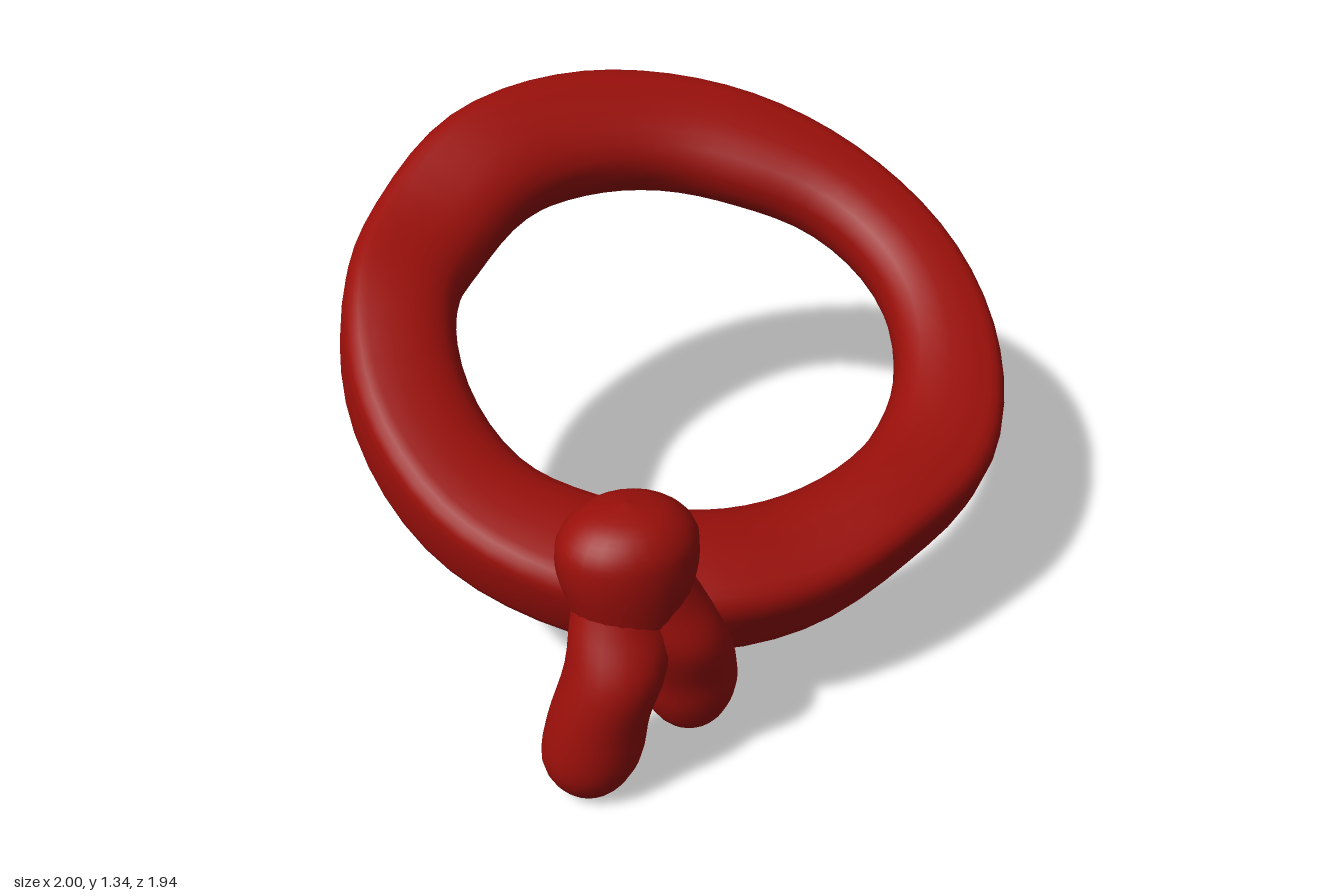
import * as THREE from 'three';

const cloth = new THREE.MeshStandardMaterial({ color: 0x9a0f0a });

// Skin over a list of equal closed loops; closed also joins the last loop to the first
function skin(name, loops, closed) {
  const n = loops[0].length, index = [];
  for (let i = 0; i < loops.length - (closed ? 0 : 1); i++) {
    const next = (i + 1) % loops.length;
    for (let j = 0; j < n; j++) {
      const k = (j + 1) % n;
      const A = i * n + j, B = i * n + k, C = next * n + j, D = next * n + k;
      index.push(A, B, C, B, D, C);
    }
  }
  const g = new THREE.BufferGeometry();
  g.setAttribute('position', new THREE.Float32BufferAttribute(loops.flat(2), 3));
  g.setIndex(index);
  g.computeVertexNormals();
  const mesh = new THREE.Mesh(g, cloth);
  mesh.name = name;
  return mesh;
}

// Tilted ring with a D-shaped cross-section: flat outside, rounded inside
function makeBand() {
  // outer radius, inner radius, lift; every 22.5 degrees from +x towards the front
  const stations = [
    [1, 0.71, 0], [1.015, 0.7, 0], [1.02, 0.67, 0], [0.975, 0.645, 0.01],
    [0.985, 0.62, 0], [1.02, 0.635, 0.015], [1.02, 0.64, 0], [1.01, 0.65, -0.03],
    [1, 0.655, -0.01], [0.98, 0.645, 0.01], [0.985, 0.62, -0.03], [0.99, 0.605, 0],
    [0.99, 0.605, -0.005], [0.985, 0.615, -0.01], [0.975, 0.62, 0], [0.98, 0.68, 0],
  ].map((s) => new THREE.Vector3(...s));
  const curve = new THREE.CatmullRomCurve3(stations, true, 'catmullrom', 0.5);
  const around = 64, ring = 24, loops = [];
  const tilt = Math.atan(0.5), c = Math.cos(tilt), s = Math.sin(tilt);
  const power = (v, p) => Math.sign(v) * Math.abs(v) ** p;

  for (let i = 0; i < around; i++) {
    const a = (i / around) * Math.PI * 2, loop = [];
    const { x: outer, y: inner, z: lift } = curve.getPoint(i / around);
    const width = outer - inner, middle = inner + width * 0.62;
    const height = 0.128 + 0.024 * Math.sin(a) ** 2;
    for (let j = 0; j < ring; j++) {
      const b = (j / ring) * Math.PI * 2, cb = Math.cos(b);
      const p = cb > 0 ? 0.55 : 0.85;
      const r = middle + power(cb, p) * width * (cb > 0 ? 0.38 : 0.62);
      const v = power(Math.sin(b), p) * height;
      const q = r * Math.sin(a);
      loop.push([r * Math.cos(a), 0.8 - q * s + v * c + lift, -0.045 + q * c + v * s]);
    }
    loops.push(loop);
  }
  return skin('band', loops, true);
}

// Soft upright lobe from level slices [x, y, z, half width, half depth], bottom to top
function makeLobe(name, slices) {
  const spline = (pick) => new THREE.CatmullRomCurve3(slices.map((s) => new THREE.Vector3(...pick(s))), false, 'catmullrom', 0.5);
  const centre = spline((s) => s.slice(0, 3));
  const size = spline((s) => [s[3], s[4], 0]);
  const steps = (slices.length - 1) * 4, loops = [];
  for (let i = 0; i <= steps; i++) {
    const p = centre.getPoint(i / steps), r = size.getPoint(i / steps), loop = [];
    for (let j = 0; j < 24; j++) {
      const a = -(j / 24) * Math.PI * 2;
      loop.push([p.x + r.x * Math.cos(a), p.y, p.z + r.y * Math.sin(a)]);
    }
    loops.push(loop);
  }
  return skin(name, loops, false);
}

export function createModel() {
  const model = new THREE.Group();
  model.name = 'knottedHeadband';
  model.add(makeBand());

  // Knot with two hanging tails that blend into it
  const knot = new THREE.Group();
  knot.name = 'knot';
  knot.add(
    makeLobe('knotBall', [
      [-0.54, 0.38, 0.77, 0, 0], [-0.54, 0.41, 0.77, 0.09, 0.09], [-0.54, 0.5, 0.77, 0.14, 0.13],
      [-0.54, 0.6, 0.765, 0.175, 0.155], [-0.54, 0.7, 0.76, 0.197, 0.168], [-0.54, 0.78, 0.76, 0.185, 0.155],
      [-0.54, 0.84, 0.76, 0.115, 0.1], [-0.54, 0.865, 0.76, 0, 0],
    ]),
    makeLobe('rightTail', [
      [-0.69, 0, 0.82, 0, 0], [-0.69, 0.025, 0.82, 0.08, 0.075], [-0.685, 0.12, 0.82, 0.138, 0.128],
      [-0.665, 0.26, 0.83, 0.14, 0.132], [-0.615, 0.42, 0.84, 0.14, 0.135], [-0.575, 0.56, 0.795, 0.14, 0.12],
      [-0.55, 0.68, 0.77, 0.11, 0.1], [-0.55, 0.74, 0.77, 0, 0],
    ]),
    makeLobe('leftTail', [
      [-0.36, 0.085, 0.775, 0, 0], [-0.36, 0.11, 0.775, 0.08, 0.075], [-0.365, 0.2, 0.775, 0.132, 0.122],
      [-0.38, 0.31, 0.79, 0.14, 0.128], [-0.425, 0.45, 0.82, 0.135, 0.128], [-0.48, 0.57, 0.79, 0.135, 0.12],
      [-0.52, 0.68, 0.77, 0.11, 0.1], [-0.52, 0.74, 0.77, 0, 0],
    ]),
  );
  model.add(knot);
  return model;
}
